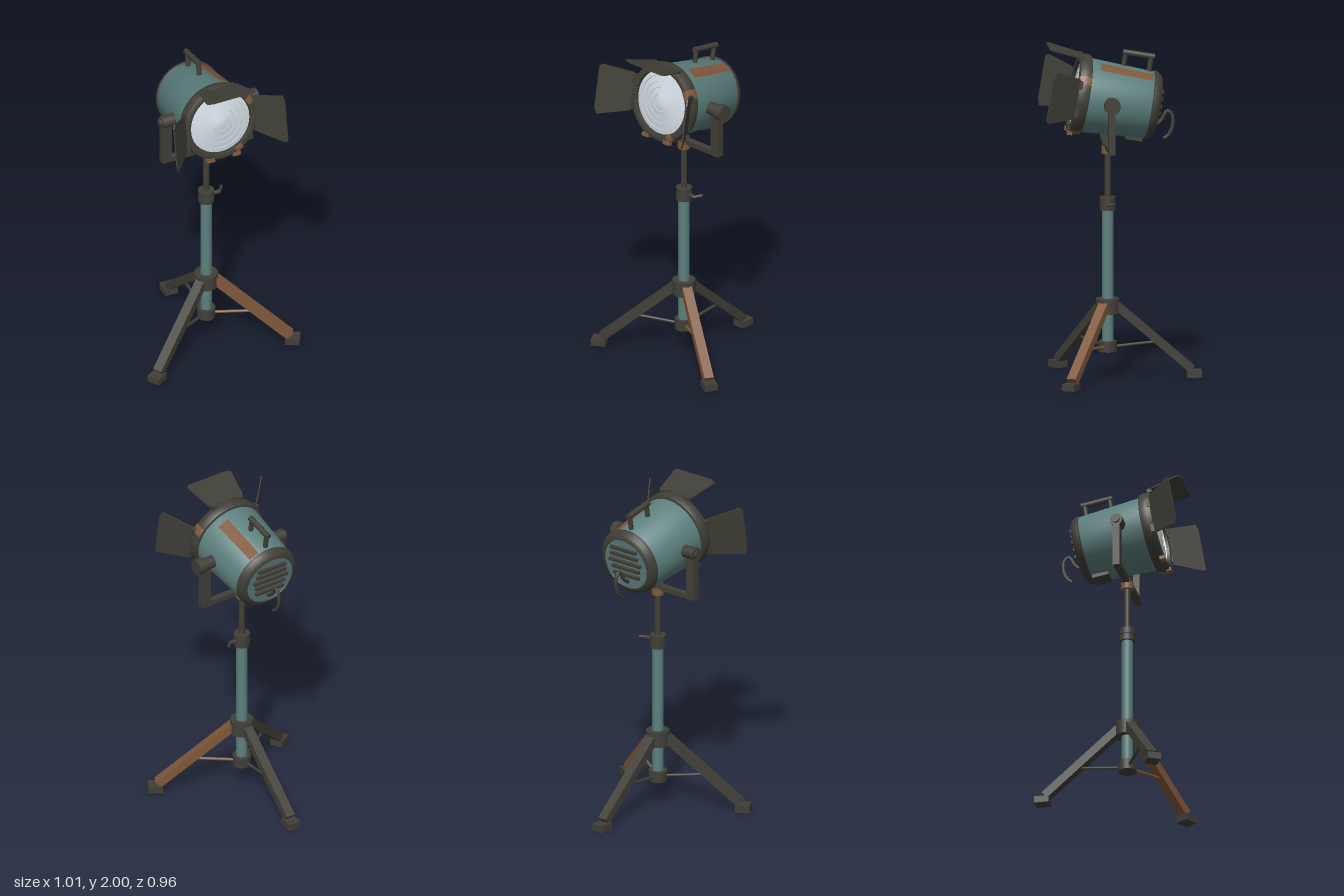
import * as THREE from 'three';
import { toCreasedNormals } from 'three/addons/utils/BufferGeometryUtils.js';

const mat = (name, color, side = THREE.FrontSide) => {
  const m = new THREE.MeshStandardMaterial({ color, side });
  m.name = name;
  return m;
};
const V = (x, y, z) => new THREE.Vector3(x, y, z);
const deg = THREE.MathUtils.degToRad;

export function createModel() {
  const teal = mat('teal paint', 0x5c807e);
  const dark = mat('dark metal', 0x403f37);
  const rust = mat('rust brown', 0x80573a, THREE.DoubleSide);
  const glass = mat('pale glass', 0xd0dbe1);

  const model = new THREE.Group();
  model.name = 'studioLamp';

  const add = (parent, name, geo, material, x = 0, y = 0, z = 0) => {
    const m = new THREE.Mesh(geo, material);
    m.name = name;
    m.position.set(x, y, z);
    parent.add(m);
    return m;
  };
  const box = (p, name, w, h, d, material, x, y, z) =>
    add(p, name, new THREE.BoxGeometry(w, h, d), material, x, y, z);
  // Upright cylinder between two heights
  const post = (p, name, r, y0, y1, material, sides = 24) =>
    add(p, name, new THREE.CylinderGeometry(r, r, y1 - y0, sides), material, 0, (y0 + y1) / 2, 0);
  // Round rod between two points
  const rod = (p, name, a, b, r, material, sides = 12) => {
    const m = add(p, name, new THREE.CylinderGeometry(r, r, a.distanceTo(b), sides), material);
    m.position.copy(a).add(b).multiplyScalar(0.5);
    m.quaternion.setFromUnitVectors(V(0, 1, 0), b.clone().sub(a).normalize());
    return m;
  };
  // Turned part along z from [radius, z] points, running back to front on the outside
  const turned = (p, name, pts, material, start = 0, length = Math.PI * 2, crease = 0.6) => {
    const segs = Math.max(4, Math.round(48 * length / (Math.PI * 2)));
    const g = new THREE.LatheGeometry(pts.map(q => new THREE.Vector2(...q)), segs, start, length);
    g.rotateX(Math.PI / 2);
    return add(p, name, toCreasedNormals(g, crease), material);
  };

  // ---- Stand ----
  const stand = new THREE.Group();
  stand.name = 'stand';
  stand.position.z = 0.095;
  model.add(stand);

  post(stand, 'column', 0.034, 0.17, 1.02, teal);
  post(stand, 'lowerCollar', 0.055, 0.16, 0.225, dark);
  post(stand, 'legHub', 0.07, 0.39, 0.48, dark);
  post(stand, 'clampLower', 0.048, 1.01, 1.045, dark);
  post(stand, 'clampGroove', 0.042, 1.04, 1.06, dark);
  post(stand, 'clampUpper', 0.048, 1.053, 1.09, dark);
  post(stand, 'upperPole', 0.019, 1.08, 1.36, dark);
  post(stand, 'swivelCollar', 0.038, 1.35, 1.395, rust);
  post(stand, 'swivelCap', 0.034, 1.39, 1.42, dark);
  rod(stand, 'clampScrew', V(0.04, 1.05, 0), V(0.088, 1.05, 0), 0.013, dark);
  rod(stand, 'clampLever', V(0.08, 1.05, 0.01), V(0.118, 1.058, -0.035), 0.009, dark);

  // Three legs, one of them rusted
  [[60, rust], [-60, dark], [180, dark]].forEach(([angle, material]) => {
    const leg = new THREE.Group();
    leg.name = 'leg';
    leg.rotation.y = deg(angle);
    stand.add(leg);
    const dy = -0.39, dz = 0.45;
    const beam = box(leg, 'legBeam', 0.058, 0.05, Math.hypot(dy, dz), material, 0, 0.245, 0.275);
    beam.rotation.x = Math.atan2(-dy, dz);
    box(leg, 'foot', 0.08, 0.042, 0.088, dark, 0, 0.021, 0.515);
    rod(leg, 'strut', V(0, 0.19, 0.04), V(0, 0.215, 0.295), 0.009, material, 8);
  });

  // ---- Yoke ----
  const yoke = new THREE.Group();
  yoke.name = 'yoke';
  stand.add(yoke);
  box(yoke, 'yokeBar', 0.594, 0.03, 0.04, dark, 0, 1.4, 0);
  for (const s of [-1, 1]) {
    box(yoke, 'yokeArm', 0.062, 0.29, 0.04, dark, s * 0.266, 1.53, 0);
    rod(yoke, 'pivotBoss', V(s * 0.195, 1.68, 0), V(s * 0.297, 1.68, 0), 0.038, dark, 24);
  }
  rod(yoke, 'tiltKnob', V(0.286, 1.68, 0), V(0.33, 1.68, 0), 0.05, dark, 12);
  rod(yoke, 'pivotBolt', V(-0.29, 1.68, 0), V(-0.312, 1.68, 0), 0.025, dark, 6);

  // ---- Lamp head, tilted upward about the pivot ----
  const head = new THREE.Group();
  head.name = 'lampHead';
  head.position.y = 1.68;
  head.rotation.x = -0.17;
  stand.add(head);

  turned(head, 'housing', [[0, -0.297], [0.17, -0.297], [0.2, -0.25], [0.223, 0.15]], teal);
  turned(head, 'rearBand', [[0.16, -0.297], [0.162, -0.302], [0.175, -0.3], [0.192, -0.288],
    [0.205, -0.268], [0.208, -0.25], [0.2, -0.246]], dark, 0, Math.PI * 2, 0.8);
  const rim = [[0.215, 0.13], [0.236, 0.135], [0.243, 0.155], [0.243, 0.18], [0.235, 0.203],
    [0.215, 0.212], [0.197, 0.208], [0.193, 0.185]];
  turned(head, 'frontRim', rim, dark, 0, Math.PI * 2, 0.8);

  // Stepped lens
  const lens = [[0.2, 0.188]];
  [0.165, 0.128, 0.092, 0.055].forEach((r, i) => {
    const z = 0.193 + i * 0.003;
    lens.push([r + 0.001, z + 0.003], [r, z - 0.001]);
  });
  lens.push([0.025, 0.209], [0, 0.21]);
  turned(head, 'lens', lens, glass, 0, Math.PI * 2, 0.4);

  // Worn patches on the housing and the rim
  turned(head, 'housingWear', [[0.203, -0.24], [0.222, 0.08]], rust, deg(143), deg(19));
  for (const a of [112, 22]) {
    turned(head, 'rimWear', rim.slice(1, 7).map(([r, z]) => [r + (r > 0.22 ? 0.003 : 0), z + (z > 0.17 ? 0.003 : 0)]),
      rust, deg(a), deg(13), 0.8);
  }

  // Rear vent slats and the plate underneath
  for (let i = -2; i <= 2; i++) {
    box(head, 'ventSlat', i === 0 ? 0.24 : 0.22 - Math.abs(i) * 0.012, 0.018, 0.024, dark, 0, i * 0.043 + 0.015, -0.303);
  }
  box(head, 'bottomPlate', 0.11, 0.022, 0.1, dark, 0, -0.206, -0.19);

  // Carrying handle
  for (const z of [-0.215, -0.06]) rod(head, 'handlePost', V(0, 0.19, z), V(0, 0.29, z), 0.015, dark);
  rod(head, 'handleGrip', V(0, 0.29, -0.234), V(0, 0.29, -0.042), 0.018, dark);

  // Loose power cable
  const cable = new THREE.CatmullRomCurve3([V(0, 1.51, -0.27), V(0, 1.54, -0.315), V(0, 1.6, -0.355),
    V(0, 1.58, -0.382), V(0, 1.52, -0.388), V(0, 1.46, -0.365), V(0, 1.435, -0.335)]);
  add(stand, 'cable', new THREE.TubeGeometry(cable, 28, 0.011, 8), dark);

  // Barn doors: roll about the lamp axis, flare, length
  const hingePair = (p, material) => {
    for (const x of [-0.085, 0.085]) box(p, 'hinge', 0.05, 0.022, 0.03, material, x, 0.226, 0.2);
  };
  [[0, 7, 0.2], [-90, 35, 0.21], [90, 42, 0.215]].forEach(([roll, flare, len]) => {
    const door = new THREE.Group();
    door.name = 'barnDoor';
    door.rotation.z = deg(roll);
    head.add(door);
    hingePair(door, dark);
    const shape = new THREE.Shape([[-0.12, 0], [0.12, 0], [0.157, len - 0.015], [0.142, len],
      [-0.118, len], [-0.157, len - 0.015]].map(q => new THREE.Vector2(...q)));
    const g = new THREE.ExtrudeGeometry(shape, { depth: 0.008, bevelEnabled: false });
    g.translate(0, 0, -0.004).rotateX(Math.PI / 2);
    const leaf = add(door, 'doorLeaf', g, dark, 0, 0.23, 0.205);
    leaf.rotation.x = -deg(flare);
  });

  // Empty hinges below
  const empty = new THREE.Group();
  empty.name = 'emptyHinges';
  empty.rotation.z = Math.PI;
  head.add(empty);
  hingePair(empty, rust);

  return model;
}
